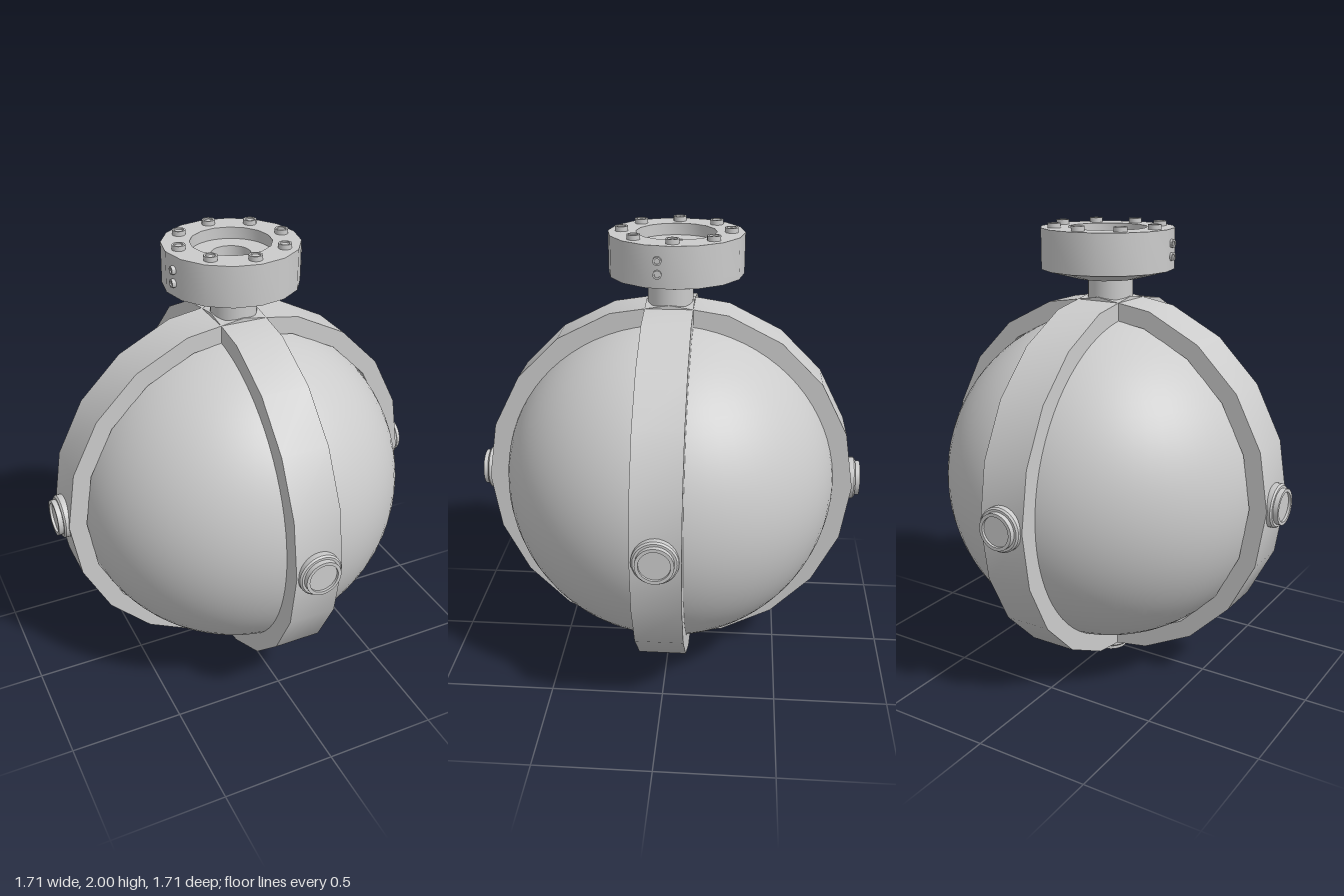
import * as THREE from 'three';
import { toCreasedNormals } from 'three/addons/utils/BufferGeometryUtils.js';

const CENTRE = 0.872;
const material = new THREE.MeshStandardMaterial({ color: 0xcccccc });

function part(name, geometry, parent) {
  const mesh = new THREE.Mesh(geometry, material);
  mesh.name = name;
  parent.add(mesh);
  return mesh;
}

// Turned part from [radius, height] pairs, bottom to top
function turned(profile, sides) {
  const points = profile.map(([r, y]) => new THREE.Vector2(r, y));
  return toCreasedNormals(new THREE.LatheGeometry(points, sides), 0.5);
}

function polygon(radius, sides) {
  return Array.from({ length: sides }, (_, i) => {
    const a = (i / sides) * Math.PI * 2;
    return new THREE.Vector2(radius * Math.cos(a), radius * Math.sin(a));
  });
}

// Flat-sided hoop with a twenty-sided outline
function hoop(inner, outer, width) {
  const shape = new THREE.Shape(polygon(outer, 20));
  shape.holes.push(new THREE.Path(polygon(inner, 20)));
  const geometry = new THREE.ExtrudeGeometry(shape, { depth: width, bevelEnabled: false });
  geometry.translate(0, 0, -width / 2);
  return toCreasedNormals(geometry, 0.5);
}

export function createModel() {
  const model = new THREE.Group();
  model.name = 'bandedSphere';

  // Ball and the two crossing hoops
  const body = new THREE.Group();
  body.name = 'body';
  body.position.y = CENTRE;
  model.add(body);
  part('ball', new THREE.SphereGeometry(0.74, 64, 40), body);
  part('sideHoop', hoop(0.74, 0.818, 0.206), body);
  part('frontHoop', hoop(0.728, 0.818, 0.206), body).rotation.y = Math.PI / 2;

  // Stepped plugs around the equator and underneath
  const plug = turned([
    [0.09, 0.78], [0.095, 0.79], [0.095, 0.828], [0.088, 0.835], [0.078, 0.835],
    [0.078, 0.856], [0.064, 0.856], [0.064, 0.845], [0, 0.845],
  ], 32);
  const up = new THREE.Vector3(0, 1, 0);
  const directions = {
    leftPlug: [1, 0, 0], rightPlug: [-1, 0, 0],
    frontPlug: [0, 0, 1], backPlug: [0, 0, -1], bottomPlug: [0, -1, 0],
  };
  for (const [name, d] of Object.entries(directions)) {
    const dir = new THREE.Vector3(...d);
    const mesh = part(name, plug, body);
    mesh.quaternion.setFromUnitVectors(up, dir);
    if (name === 'bottomPlug') mesh.position.y = -(CENTRE - 0.856);
  }

  // Neck
  const neck = part('neck', new THREE.CylinderGeometry(0.098, 0.098, 0.13, 32), model);
  neck.position.y = 1.72;

  // Flange, set slightly back, with a stepped recess
  const flange = new THREE.Group();
  flange.name = 'flange';
  flange.position.z = -0.024;
  model.add(flange);
  part('flangeDisc', turned([
    [0, 1.768], [0.14, 1.768], [0.288, 1.808], [0.288, 1.98], [0.17, 1.98],
  ], 16), flange);
  part('flangeRecess', turned([
    [0.17, 1.98], [0.17, 1.93], [0.082, 1.93], [0.082, 1.85], [0, 1.85],
  ], 32), flange);

  // Ring of bolts
  const bolt = turned([
    [0.028, 1.97], [0.028, 2], [0.02, 2], [0.02, 1.994], [0, 1.994],
  ], 16);
  for (let i = 0; i < 8; i++) {
    const a = (i * Math.PI) / 4;
    part('bolt', bolt, flange).position.set(0.23 * Math.cos(a), 0, 0.23 * Math.sin(a));
  }

  // Pairs of small screws on both sides
  const screw = turned([
    [0.018, -0.03], [0.018, 0.006], [0.011, 0.006], [0.011, 0.001], [0, 0.001],
  ], 16);
  for (const side of [-1, 1]) {
    for (const y of [1.865, 1.92]) {
      const mesh = part('sideScrew', screw, flange);
      mesh.position.set(side * 0.284, y, 0.057);
      mesh.rotation.z = (-side * Math.PI) / 2;
    }
  }
  return model;
}
